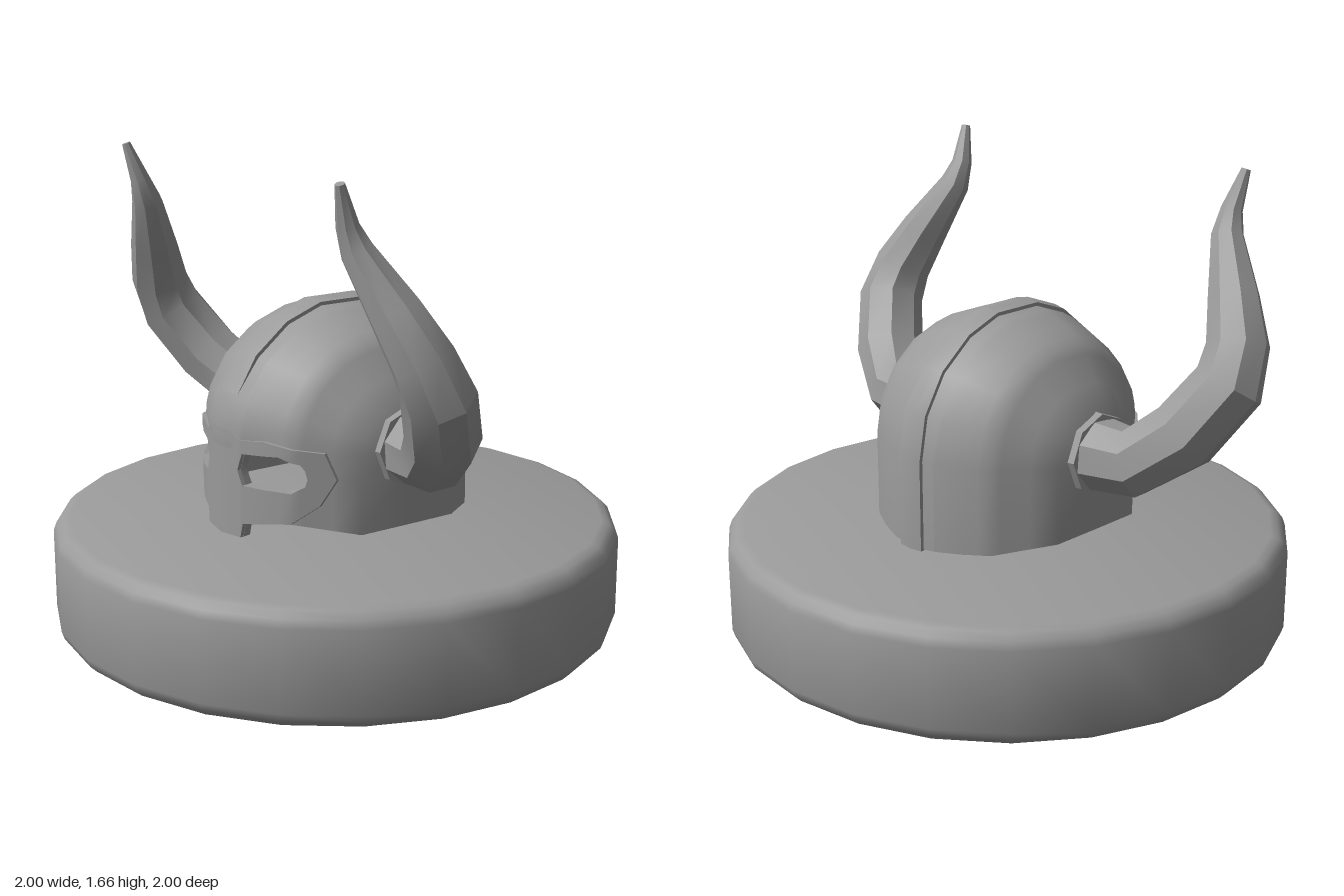
import * as THREE from 'three';
import { toCreasedNormals } from 'three/addons/utils/BufferGeometryUtils.js';

const steel = new THREE.MeshStandardMaterial({ color: 0x9a9a9a, side: THREE.DoubleSide });

// Piecewise linear lookup in [x, value] pairs
function lerpTable(table, x) {
  x = Math.abs(x);
  for (let i = 1; i < table.length; i++) {
    const [x0, v0] = table[i - 1], [x1, v1] = table[i];
    if (x <= x1) return v0 + (v1 - v0) * (x - x0) / (x1 - x0);
  }
  return table[table.length - 1][1];
}

// Collects quads and turns them into creased geometry
function makeBuilder() {
  const pos = [];
  const tri = (a, b, c) => {
    if (new THREE.Triangle(a, b, c).getArea() > 1e-7) for (const p of [a, b, c]) pos.push(p.x, p.y, p.z);
  };
  return {
    quad(a, b, c, d) { tri(a, b, c); tri(a, c, d); },
    mesh(name, crease) {
      const g = new THREE.BufferGeometry();
      g.setAttribute('position', new THREE.Float32BufferAttribute(pos, 3));
      const m = new THREE.Mesh(toCreasedNormals(g, crease), steel);
      m.name = name;
      return m;
    },
  };
}

// Sheet with thickness over columns x and rows i, with one open row band
function shell(name, crease, cols, rows, outer, inner, gap = -1) {
  const b = makeBuilder();
  const O = cols.map((x) => Array.from({ length: rows }, (_, i) => outer(x, i)));
  const I = cols.map((x) => Array.from({ length: rows }, (_, i) => inner(x, i)));
  const edges = gap < 0 ? [0, rows - 1] : [0, gap, gap + 1, rows - 1];
  for (let c = 0; c + 1 < cols.length; c++) {
    for (let i = 0; i + 1 < rows; i++) {
      if (i === gap) continue;
      b.quad(O[c][i], O[c + 1][i], O[c + 1][i + 1], O[c][i + 1]);
      b.quad(I[c][i + 1], I[c + 1][i + 1], I[c + 1][i], I[c][i]);
    }
    edges.forEach((i, k) => {
      if (k % 2) b.quad(O[c][i], O[c + 1][i], I[c + 1][i], I[c][i]);
      else b.quad(I[c][i], I[c + 1][i], O[c + 1][i], O[c][i]);
    });
  }
  for (const c of [0, cols.length - 1]) {
    for (let i = 0; i + 1 < rows; i++) {
      if (i !== gap) b.quad(O[c][i], O[c][i + 1], I[c][i + 1], I[c][i]);
    }
  }
  return b.mesh(name, crease);
}

// Arch depth and height across the helmet, then hems, brow and eye outline
const SPRING = 0.72;
const depth = [[0, 0.465], [0.1, 0.45], [0.19, 0.415], [0.28, 0.365], [0.42, 0.19], [0.421, 0]];
const rise = [[0, 0.45], [0.1, 0.43], [0.19, 0.4], [0.28, 0.35], [0.42, 0.15], [0.421, 0]];
const frontHem = [[0, 0.4], [0.1, 0.405], [0.11, 0.46], [0.28, 0.48], [0.42, 0.45]];
const backHem = [[0, 0.4], [0.28, 0.42], [0.42, 0.45]];
const browBulge = [[0, 0.014], [0.05, 0.014], [0.19, 0]];
const eyeLow = [[0, 0.64], [0.09, 0.64], [0.11, 0.59], [0.28, 0.59], [0.31, 0.615], [0.315, 0.64]];
const eyeHigh = [[0, 0.64], [0.09, 0.64], [0.11, 0.7], [0.24, 0.71], [0.3, 0.69], [0.31, 0.67], [0.315, 0.64]];
const maskLow = [[0, 0.4], [0.1, 0.405], [0.11, 0.455], [0.28, 0.485], [0.34, 0.55], [0.375, 0.64]];
const maskHigh = [[0, 0.77], [0.05, 0.77], [0.1, 0.745], [0.19, 0.755], [0.35, 0.73], [0.375, 0.64]];
const arc = [0, 10, 20, 40, 60, 78, 102, 120, 140, 160, 180];

const mirrored = (xs) => [...xs.map((x) => -x).reverse(), 0, ...xs];

function archPoint(x, degrees, grow) {
  const a = THREE.MathUtils.degToRad(degrees);
  const rz = Math.max(0, lerpTable(depth, x) + grow), ry = Math.max(0, lerpTable(rise, x) + grow);
  return new THREE.Vector3(x * (1 + Math.min(grow, 0) / 0.42), SPRING + ry * Math.sin(a), rz * Math.cos(a));
}

function wallPoint(x, y, grow, back = false) {
  const lean = Math.asin(Math.max(0, y - SPRING) / (lerpTable(rise, x) + 0.05));
  const p = archPoint(x, back ? 180 : THREE.MathUtils.radToDeg(lean), grow);
  p.y = y;
  return p;
}

function createHelmet() {
  const helmet = new THREE.Group();
  helmet.name = 'helmet';
  const eyeCols = [0.05, 0.09, 0.1, 0.11, 0.19, 0.24, 0.28, 0.3, 0.31, 0.315];

  // Dome and walls with eye openings, swelling at the brow to meet the mask
  const dome = (grow) => (x, i) => {
    if (i < 3) return wallPoint(x, lerpTable([frontHem, eyeLow, eyeHigh][i], x), grow);
    if (i < 3 + arc.length) {
      const degrees = arc[i - 3];
      return archPoint(x, degrees, grow + (degrees <= 20 ? lerpTable(browBulge, x) : 0));
    }
    return wallPoint(x, lerpTable(backHem, x), grow, true);
  };
  helmet.add(shell('dome', 0.72, mirrored([...eyeCols, 0.36, 0.42, 0.421]), arc.length + 4, dome(0), dome(-0.03), 1));

  // Raised eye mask with nose guard
  const mask = (grow) => (x, i) => wallPoint(x, lerpTable([maskLow, eyeLow, eyeHigh, maskHigh][i], x), grow);
  helmet.add(shell('eyeMask', 0.5, mirrored([...eyeCols, 0.34, 0.35, 0.375]), 4, mask(0.013), mask(-0.005), 1));

  // Raised centre band that rises out of the brow and runs to the nape
  const band = arc.slice(2);
  const ridge = (grow) => (x, i) => (i < band.length ? archPoint(x, band[i], grow) : wallPoint(x, 0.4, grow, true));
  helmet.add(shell('centreBand', 0.5, mirrored([0.05]), band.length + 1, ridge(0.013), ridge(-0.005)));
  return helmet;
}

// Horn stations: x, y, z, radius
const hornPath = [
  [0.38, 0.73, -0.01, 0.132], [0.575, 0.73, 0.01, 0.12], [0.715, 0.84, 0.09, 0.124],
  [0.815, 1.01, 0.19, 0.12], [0.803, 1.13, 0.245, 0.106], [0.737, 1.27, 0.3, 0.087],
  [0.645, 1.45, 0.375, 0.055], [0.637, 1.53, 0.405, 0.037], [0.657, 1.66, 0.447, 0.016],
];

function createHorn(side) {
  const horn = new THREE.Group();
  horn.name = side > 0 ? 'leftHorn' : 'rightHorn';
  const sides = 8, b = makeBuilder();
  const pts = hornPath.map(([x, y, z]) => new THREE.Vector3(x, y, z));
  const planeNormal = new THREE.Vector3(0, -0.45, 0.89).normalize();
  const rings = pts.map((p, k) => {
    const t = k === 0 ? new THREE.Vector3(1, 0, 0)
      : pts[Math.min(k + 1, pts.length - 1)].clone().sub(pts[k - 1]).normalize();
    const u = planeNormal.clone().cross(t).normalize(), v = t.clone().cross(u);
    return Array.from({ length: sides }, (_, j) => {
      const a = j / sides * Math.PI * 2, r = hornPath[k][3];
      const q = p.clone().addScaledVector(u, r * Math.cos(a)).addScaledVector(v, r * Math.sin(a));
      q.x *= side;
      return q;
    });
  });
  const face = (p, q, r, s) => (side > 0 ? b.quad(p, q, r, s) : b.quad(s, r, q, p));
  for (let k = 0; k + 1 < rings.length; k++) {
    for (let j = 0; j < sides; j++) {
      const n = (j + 1) % sides;
      face(rings[k][j], rings[k][n], rings[k + 1][n], rings[k + 1][j]);
    }
  }
  // Blunt tip
  const tip = rings[rings.length - 1];
  for (let j = 1; j + 1 < sides; j++) face(tip[0], tip[j], tip[j + 1], tip[j + 1]);
  horn.add(b.mesh('hornBody', 0.5));

  // Thin collar where the horn meets the helmet
  const collar = new THREE.Mesh(toCreasedNormals(new THREE.CylinderGeometry(0.14, 0.145, 0.05, sides), 0.5), steel);
  collar.name = 'hornCollar';
  collar.rotation.z = -side * Math.PI / 2;
  collar.position.set(side * 0.42, 0.73, -0.005);
  horn.add(collar);
  return horn;
}

function createBase() {
  const lower = [[0, 0], [0.94, 0], [0.968, 0.01], [0.99, 0.032], [1, 0.06]];
  const profile = [...lower, ...lower.map(([r, y]) => [r, 0.4 - y]).reverse()];
  const geometry = new THREE.LatheGeometry(profile.map(([r, y]) => new THREE.Vector2(r, y)), 24);
  const base = new THREE.Mesh(toCreasedNormals(geometry, 0.9), steel);
  base.name = 'roundBase';
  return base;
}

export function createModel() {
  const model = new THREE.Group();
  model.name = 'hornedHelmetOnBase';
  model.add(createBase(), createHelmet(), createHorn(1), createHorn(-1));
  return model;
}
